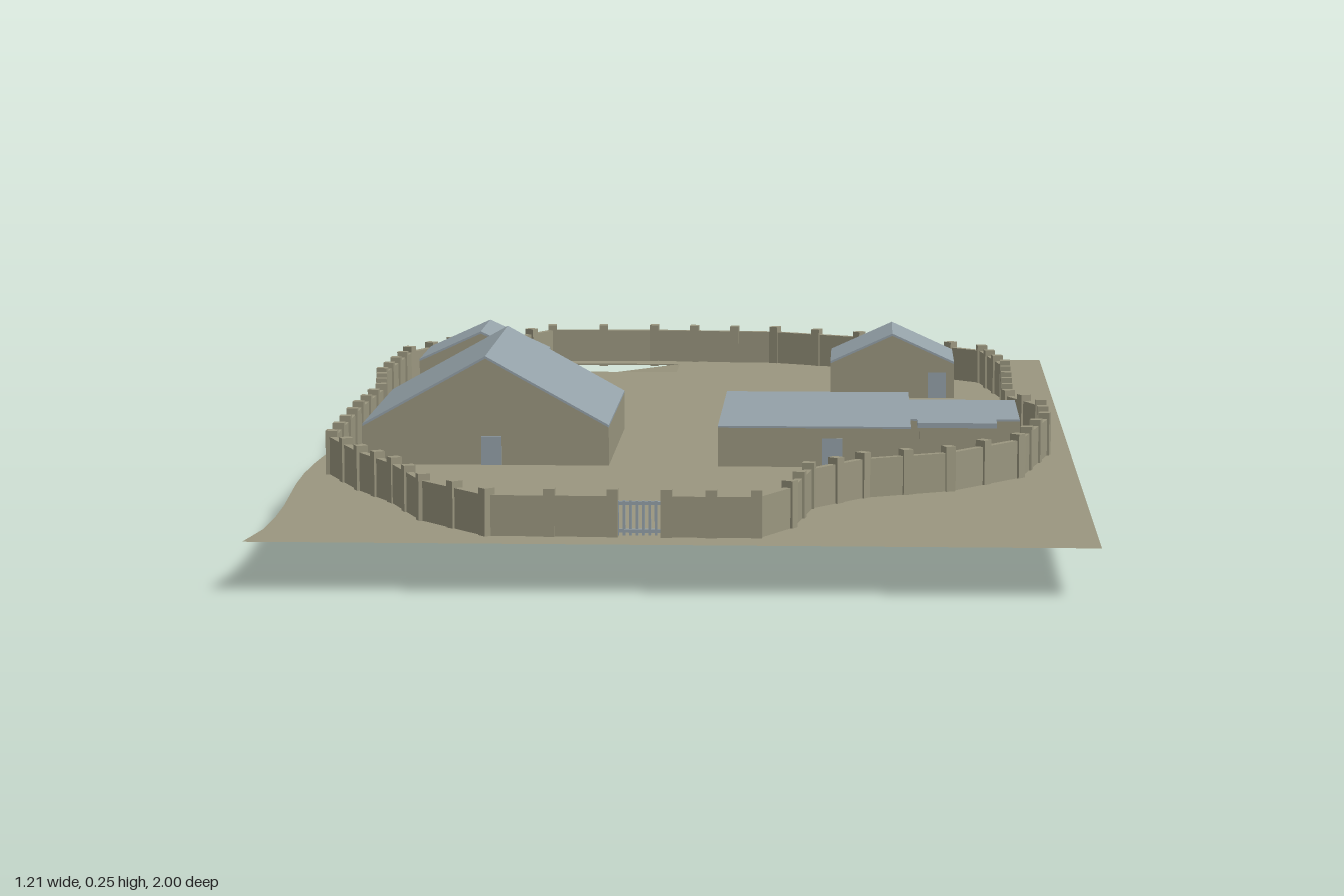
import * as THREE from 'three';

const GROUND = 0.072, EAVE = 0.137;

export function createModel() {
  const model = new THREE.Group();
  const olive = new THREE.MeshStandardMaterial({ color: 0x9a967f, side: THREE.DoubleSide });
  olive.name = 'olive';
  const blue = new THREE.MeshStandardMaterial({ color: 0x94a1a8 });
  blue.name = 'greyBlue';

  const add = (name, geo, mat, parent = model) => {
    const mesh = new THREE.Mesh(geo, mat);
    mesh.name = name;
    parent.add(mesh);
    return mesh;
  };
  const box = (name, mat, x0, x1, y0, y1, z0, z1, parent) => {
    const geo = new THREE.BoxGeometry(x1 - x0, y1 - y0, z1 - z0);
    geo.translate((x0 + x1) / 2, (y0 + y1) / 2, (z0 + z1) / 2);
    return add(name, geo, mat, parent);
  };
  const outline = pts => new THREE.Shape(pts.map(p => new THREE.Vector2(p[0], p[1])));
  // Flat sheet from [x, z] points, facing down
  const sheet = (shape, y) => new THREE.ShapeGeometry(shape).rotateX(Math.PI / 2).translate(0, y, 0);
  // Upright prism from [x, y] points, between z0 and z1
  const prism = (pts, z0, z1) =>
    new THREE.ExtrudeGeometry(outline(pts), { depth: z1 - z0, bevelEnabled: false }).translate(0, 0, z0);
  const faces = (positions, index) => {
    const geo = new THREE.BufferGeometry();
    geo.setAttribute('position', new THREE.Float32BufferAttribute(positions, 3));
    geo.setIndex(index);
    const flat = geo.toNonIndexed();
    flat.computeVertexNormals();
    return flat;
  };

  // Ground with a wavy left edge and an opening where one corner has sunk
  const edge = [[0.605, 1], [0.605, -1], [-0.605, -1]];
  for (let i = 1; i < 20; i++) {
    const z = -1 + i / 10;
    edge.push([-0.597 + 0.008 * Math.cos(z * Math.PI * 2.5), z]);
  }
  edge.push([-0.605, 1]);
  const ground = outline(edge);
  const hx0 = -0.305, hx1 = -0.08, hz0 = -0.915, hz1 = -0.8;
  ground.holes.push(new THREE.Path([[hx0, hz0], [hx0, hz1], [hx1, hz1], [hx1, hz0]]
    .map(p => new THREE.Vector2(...p))));
  add('ground', sheet(ground, GROUND), olive);
  add('sunkenGround', faces([
    hx0, GROUND - 0.03, hz0, hx0, GROUND, hz1, hx1, GROUND, hz1, hx1, GROUND, hz0,
  ], [0, 1, 2, 0, 2, 3]), olive);

  // Cellar: outer walls and underside, open at the top
  const plan = [[-0.525, -0.48], [0.43, -0.48], [0.43, -0.65], [-0.085, -0.65],
    [-0.085, -0.91], [-0.305, -0.91], [-0.305, -0.65], [-0.525, -0.65]];
  const cellar = new THREE.Group();
  cellar.name = 'cellar';
  model.add(cellar);
  plan.forEach(([x0, z0], i) => {
    const [x1, z1] = plan[(i + 1) % plan.length];
    add('cellarWall', faces([x0, 0, z0, x1, 0, z1, x1, 0.068, z1, x0, 0.068, z0],
      [0, 1, 2, 0, 2, 3]), blue, cellar);
  });
  add('cellarBase', sheet(outline(plan), 0), blue, cellar);

  // Houses with pitched roofs
  const house = (name, x0, x1, z0, z1, peak, doorX) => {
    const group = new THREE.Group();
    group.name = name;
    model.add(group);
    const mid = (x0 + x1) / 2, t = 0.004;
    add('walls', prism([[x0, GROUND - 0.002], [x1, GROUND - 0.002], [x1, EAVE - t],
      [mid, peak - t], [x0, EAVE - t]], z0, z1), olive, group);
    add('roof', prism([[x0, EAVE - t], [mid, peak - t], [x1, EAVE - t],
      [x1, EAVE], [mid, peak], [x0, EAVE]], z0, z1), blue, group);
    box('door', blue, doorX - 0.016, doorX + 0.016, GROUND, GROUND + 0.046, z1, z1 + 0.003, group);
  };
  house('largeHouse', -0.525, -0.133, -0.09, 0.303, 0.246, -0.32);
  house('leftHut', -0.525, -0.305, -0.655, -0.48, 0.187, -0.485);
  house('rightHut', 0.21, 0.43, -0.655, -0.48, 0.187, 0.4);

  // Flat-roofed building with a side wing
  const hall = new THREE.Group();
  hall.name = 'flatRoofBuilding';
  model.add(hall);
  for (const [x0, x1, z0, z1] of [[0.04, 0.345, -0.09, 0.303], [0.345, 0.52, -0.005, 0.215]]) {
    box('walls', olive, x0, x1, GROUND - 0.002, EAVE - 0.003, z0, z1, hall);
    box('roof', blue, x0, x1, EAVE - 0.003, EAVE, z0, z1, hall);
  }
  box('door', blue, 0.205, 0.237, GROUND, GROUND + 0.046, 0.303, 0.306, hall);
  box('canopy', blue, 0.355, 0.48, 0.139, 0.147, 0.235, 0.325, hall);
  for (const x of [0.358, 0.47]) {
    for (const z of [0.238, 0.315]) {
      box('canopyPost', olive, x, x + 0.007, GROUND, 0.139, z, z + 0.007, hall);
    }
  }

  // Undersides of the floors, just below the ground
  const floors = {
    largeHouseFloor: [[-0.525, -0.09], [-0.133, -0.09], [-0.133, 0.303], [-0.525, 0.303]],
    hallFloor: [[0.04, -0.09], [0.345, -0.09], [0.345, -0.005], [0.52, -0.005],
      [0.52, 0.215], [0.345, 0.215], [0.345, 0.303], [0.04, 0.303]],
  };
  for (const name in floors) add(name, sheet(outline(floors[name]), 0.064), blue);

  // Fence around the yard, leaving a gap for the gate
  const path = [[-0.085, 0.935], [-0.265, 0.933], [-0.37, 0.81], [-0.43, 0.66], [-0.495, 0.55],
    [-0.56, 0.4], [-0.56, 0.08], [-0.55, -0.13], [-0.573, -0.33], [-0.56, -0.62],
    [-0.495, -0.755], [-0.395, -0.83], [-0.325, -0.955], [-0.13, -0.963], [0.1, -0.945],
    [0.26, -0.875], [0.485, -0.685], [0.52, -0.475], [0.512, -0.1], [0.562, 0.01],
    [0.562, 0.16], [0.51, 0.39], [0.4, 0.52], [0.27, 0.585], [0.19, 0.685],
    [0.165, 0.85], [0.12, 0.935], [-0.008, 0.935]];
  const fence = new THREE.Group();
  fence.name = 'fence';
  model.add(fence);
  const post = (x, z, turn) => {
    const p = add('fencePost', new THREE.BoxGeometry(0.016, 0.078, 0.018), olive, fence);
    p.position.set(x, 0.102, z);
    p.rotation.y = turn;
  };
  for (let i = 0; i + 1 < path.length; i++) {
    const [x0, z0] = path[i], [x1, z1] = path[i + 1];
    const length = Math.hypot(x1 - x0, z1 - z0), turn = -Math.atan2(z1 - z0, x1 - x0);
    const panel = add('fencePanel', new THREE.BoxGeometry(length, 0.067, 0.011), olive, fence);
    panel.position.set((x0 + x1) / 2, 0.0975, (z0 + z1) / 2);
    panel.rotation.y = turn;
    const n = Math.max(1, Math.round(length / 0.08));
    for (let k = 0; k < n; k++) post(x0 + (x1 - x0) * k / n, z0 + (z1 - z0) * k / n, turn);
  }
  post(-0.008, 0.935, 0);

  // Barred gate
  const gate = new THREE.Group();
  gate.name = 'gate';
  model.add(gate);
  for (const y of [0.078, 0.118]) box('gateRail', blue, -0.08, -0.012, y, y + 0.005, 0.932, 0.938, gate);
  for (let i = 0; i < 8; i++) {
    const x = -0.08 + i * 0.0092;
    box('gateBar', blue, x, x + 0.004, 0.074, 0.124, 0.933, 0.937, gate);
  }
  return model;
}
